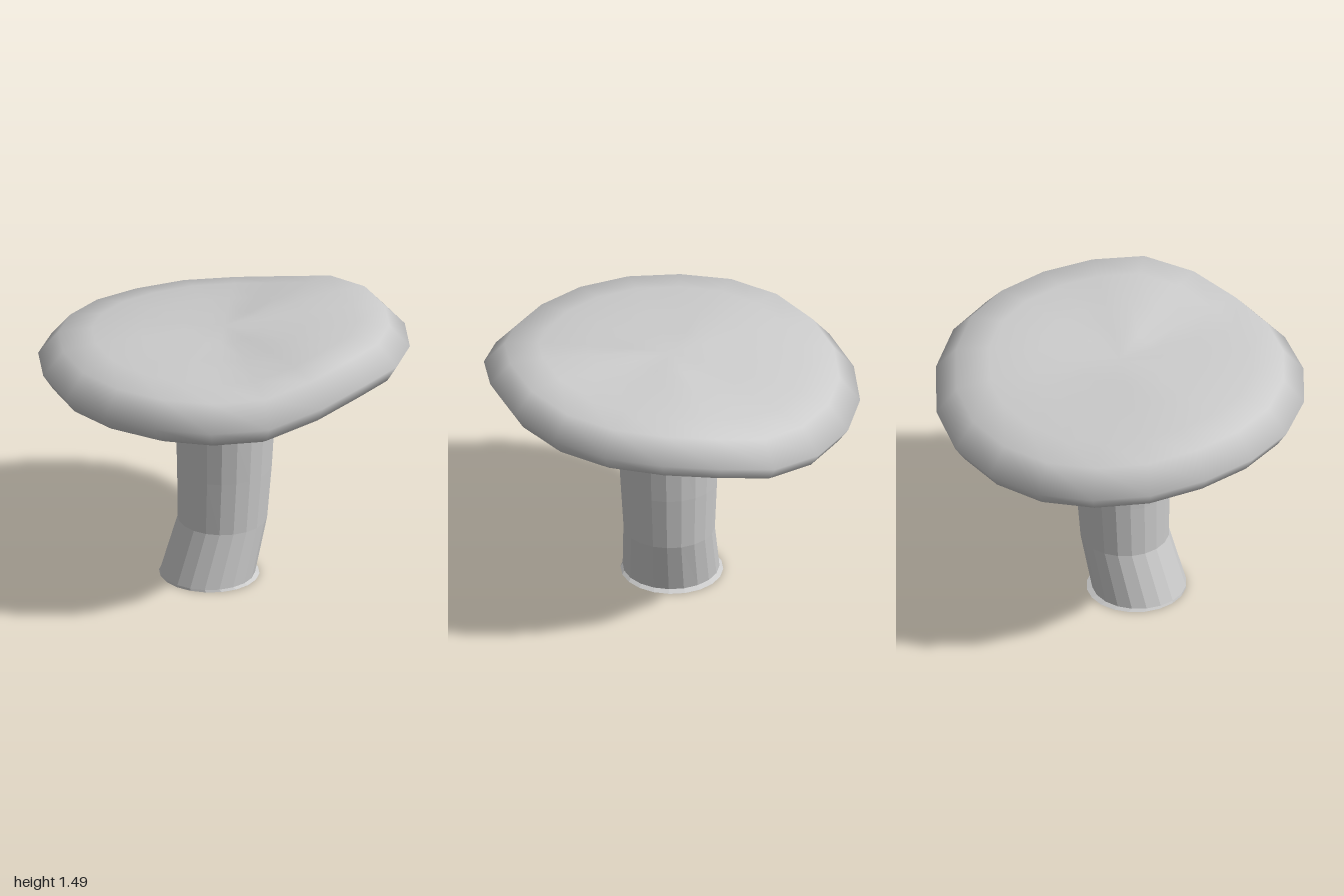
import * as THREE from 'three';
import { mergeGeometries, toCreasedNormals } from 'three/addons/utils/BufferGeometryUtils.js';

const SIDES = 20;
const GILLS = 24;
const MIDDLE = 1.25;

// Height of the rim every 18 degrees, from the left (+x) round by the front (+z)
const RIM = [
  1.31, 1.32, 1.33, 1.35, 1.37, 1.32, 1.25, 1.235, 1.23, 1.225,
  1.22, 1.225, 1.215, 1.185, 1.16, 1.14, 1.14, 1.15, 1.19, 1.27,
];

// Bends a flat, level shape into the wavy lie of the cap
function warp(geometry) {
  const p = geometry.attributes.position;
  for (let i = 0; i < p.count; i++) {
    const x = p.getX(i), z = p.getZ(i);
    const turn = ((Math.atan2(z, x) / (Math.PI * 2) + 1) % 1) * SIDES;
    const k = Math.floor(turn);
    const rim = THREE.MathUtils.lerp(RIM[k % SIDES], RIM[(k + 1) % SIDES], turn - k);
    const lie = THREE.MathUtils.lerp(MIDDLE, rim, Math.hypot(x, z));
    p.setXYZ(i, x * 0.985, p.getY(i) + lie, z);
  }
  return geometry;
}

function lathe(points) {
  return new THREE.LatheGeometry(points.map(([r, y]) => new THREE.Vector2(r, y)), SIDES);
}

function makeMesh(name, geometry, options = {}) {
  const mesh = new THREE.Mesh(geometry, new THREE.MeshStandardMaterial({ color: 0xcccccc, ...options }));
  mesh.name = name;
  return mesh;
}

// Cap: hollow underside, rolled rim and a nearly flat top
function createCap() {
  const shell = lathe([
    [0.29, -0.2], [0.34, -0.1], [0.42, -0.01], [0.76, 0], [0.79, -0.09], [0.85, -0.135],
    [0.945, -0.085], [1, 0], [0.89, 0.125], [0.71, 0.152], [0.45, 0.16], [0.22, 0.16], [0, 0.16],
  ]);
  return makeMesh('cap', toCreasedNormals(warp(shell), 1.4));
}

// Gills: radial fins sweeping from the stem collar out to the rim
function createGills() {
  const profile = new THREE.Shape([
    [0.28, -0.2], [0.335, -0.195], [0.375, -0.13], [0.43, -0.085], [0.56, -0.065],
    [0.72, -0.07], [0.82, -0.11], [0.82, 0.02], [0.4, 0.03], [0.28, -0.1],
  ].map(([r, y]) => new THREE.Vector2(r, y)));
  const fins = [];
  for (let i = 0; i < GILLS; i++) {
    const fin = new THREE.ExtrudeGeometry(profile, { depth: 0.05, bevelEnabled: false });
    fin.translate(0, 0, -0.025);
    fin.rotateY((i / GILLS) * Math.PI * 2);
    fins.push(warp(fin));
  }
  return makeMesh('gills', mergeGeometries(fins), { flatShading: true });
}

// Stem: each ring has a radius, height, sideways shift and tilt
function createStem() {
  const rings = [
    { r: 0.265, y: 0, x: -0.095, z: 0.005, tilt: 0 },
    { r: 0.25, y: 0.012, x: -0.108, z: 0.01, tilt: 0 },
    { r: 0.236, y: 0.31, x: -0.02, z: 0.016, tilt: 0.02 },
    { r: 0.25, y: 0.61, x: -0.008, z: 0.018, tilt: 0.04 },
    { r: 0.262, y: 0.87, x: -0.005, z: 0.02, tilt: 0.11 },
    { r: 0.328, y: 1.01, x: -0.02, z: 0.017, tilt: 0.12 },
    { r: 0.344, y: 1.025, x: -0.02, z: 0.015, tilt: 0.12 },
    { r: 0.344, y: 1.05, x: -0.015, z: 0.015, tilt: 0.12 },
    { r: 0.3, y: 1.06, x: -0.01, z: 0.01, tilt: 0.11 },
    { r: 0.28, y: 1.13, x: 0, z: 0, tilt: 0.08 },
  ];
  const geometry = lathe(rings.map(({ r, y }) => [r, y]));
  const p = geometry.attributes.position;
  for (let i = 0; i < p.count; i++) {
    const ring = rings[i % rings.length];
    const x = p.getX(i);
    // Slightly oval, deeper than wide
    p.setXYZ(i, x + ring.x, ring.y + ring.tilt * x, p.getZ(i) * 1.03 + ring.z);
  }
  return makeMesh('stem', geometry, { flatShading: true, side: THREE.DoubleSide });
}

export function createModel() {
  const mushroom = new THREE.Group();
  mushroom.name = 'mushroom';
  mushroom.add(createCap(), createGills(), createStem());
  return mushroom;
}
